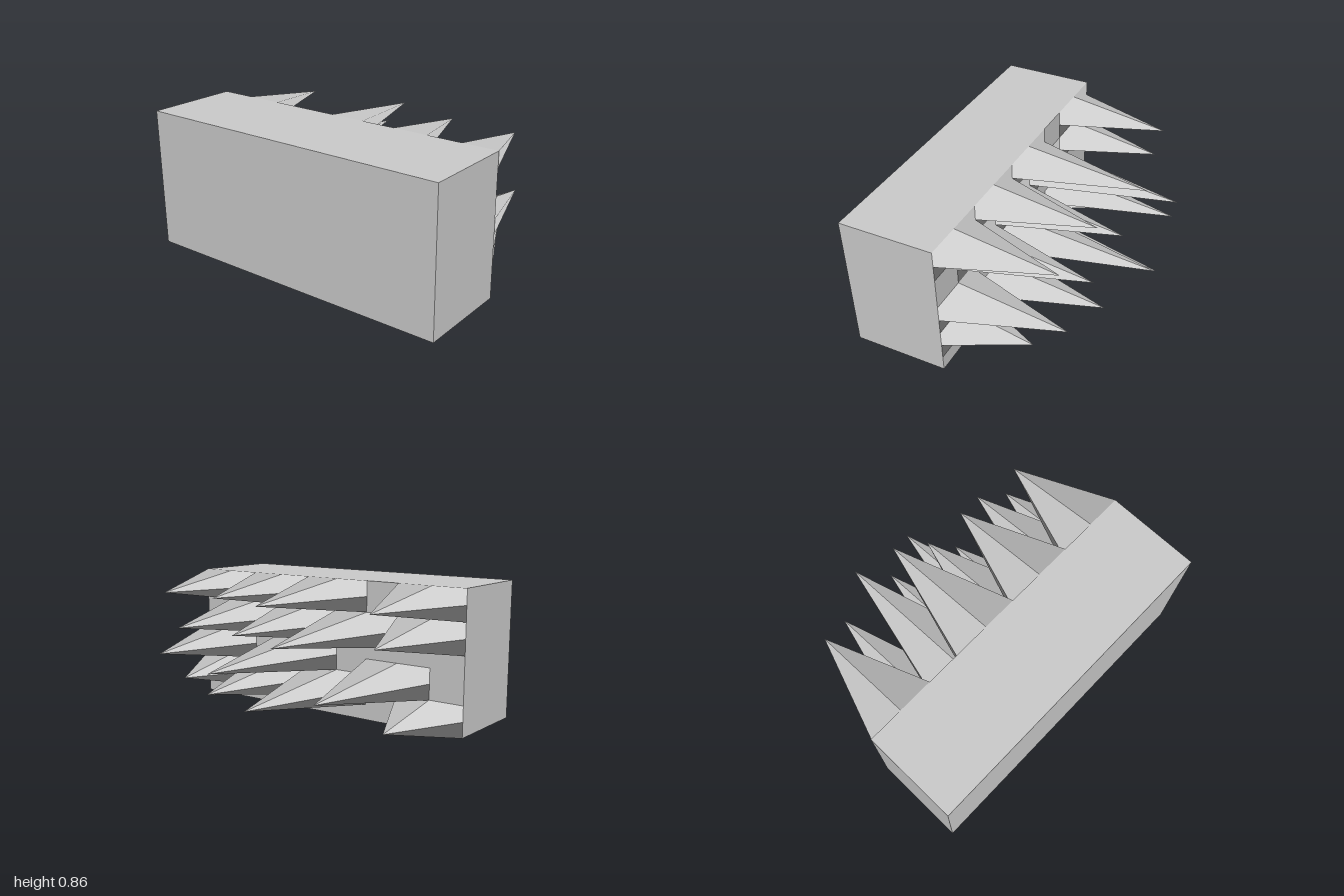
import * as THREE from 'three';

const W = 2, H = 0.86, FRONT = 0.75, BACK = 0.17, N = 9;

// Spikes as [column, row from the top, z of the tip] on a 9 x 9 grid
const SPIKES = [
  [1, 1, -0.465], [1, 3, -0.42], [1, 8, -0.32],
  [2, 6, -0.645], [3, 3, -0.725],
  [4, 1, -0.595], [4, 7, -0.695],
  [5, 3, -0.545], [5, 5, -0.75],
  [6, 1, -0.47], [6, 7, -0.535],
  [7, 3, -0.545],
  [8, 1, -0.445], [8, 5, -0.5], [8, 7, -0.29],
];

// Grid of separate four-cornered cells, each with one normal of its own
function spikedPanel() {
  const tips = new Map(SPIKES.map(([c, r, z]) => [`${c},${N - r}`, z]));
  const corner = (i, j) => new THREE.Vector3(
    -W / 2 + (W * i) / N, (H * j) / N, tips.get(`${i},${j}`) ?? BACK);
  const positions = [], normals = [], index = [];
  for (let i = 0; i < N; i++) {
    for (let j = 0; j < N; j++) {
      const quad = [corner(i, j), corner(i, j + 1), corner(i + 1, j + 1), corner(i + 1, j)];
      const normal = quad[2].clone().sub(quad[0])
        .cross(quad[3].clone().sub(quad[1])).normalize();
      const k = positions.length / 3;
      for (const p of quad) {
        positions.push(p.x, p.y, p.z);
        normals.push(normal.x, normal.y, normal.z);
      }
      index.push(k, k + 1, k + 2, k, k + 2, k + 3);
    }
  }
  const geometry = new THREE.BufferGeometry();
  geometry.setAttribute('position', new THREE.Float32BufferAttribute(positions, 3));
  geometry.setAttribute('normal', new THREE.Float32BufferAttribute(normals, 3));
  geometry.setIndex(index);
  return geometry;
}

export function createModel() {
  const group = new THREE.Group();
  const material = new THREE.MeshStandardMaterial({ color: 0xcccccc });

  // Block, left open at the back where the spiked panel closes it
  const box = new THREE.BoxGeometry(W, H, FRONT - BACK);
  box.setIndex(Array.from(box.index.array).slice(0, 30));
  box.clearGroups();
  const block = new THREE.Mesh(box, material);
  block.name = 'block';
  block.position.set(0, H / 2, (FRONT + BACK) / 2);

  // Back panel with its spikes
  const panel = new THREE.Mesh(spikedPanel(), material);
  panel.name = 'spikedPanel';

  group.add(block, panel);
  return group;
}
